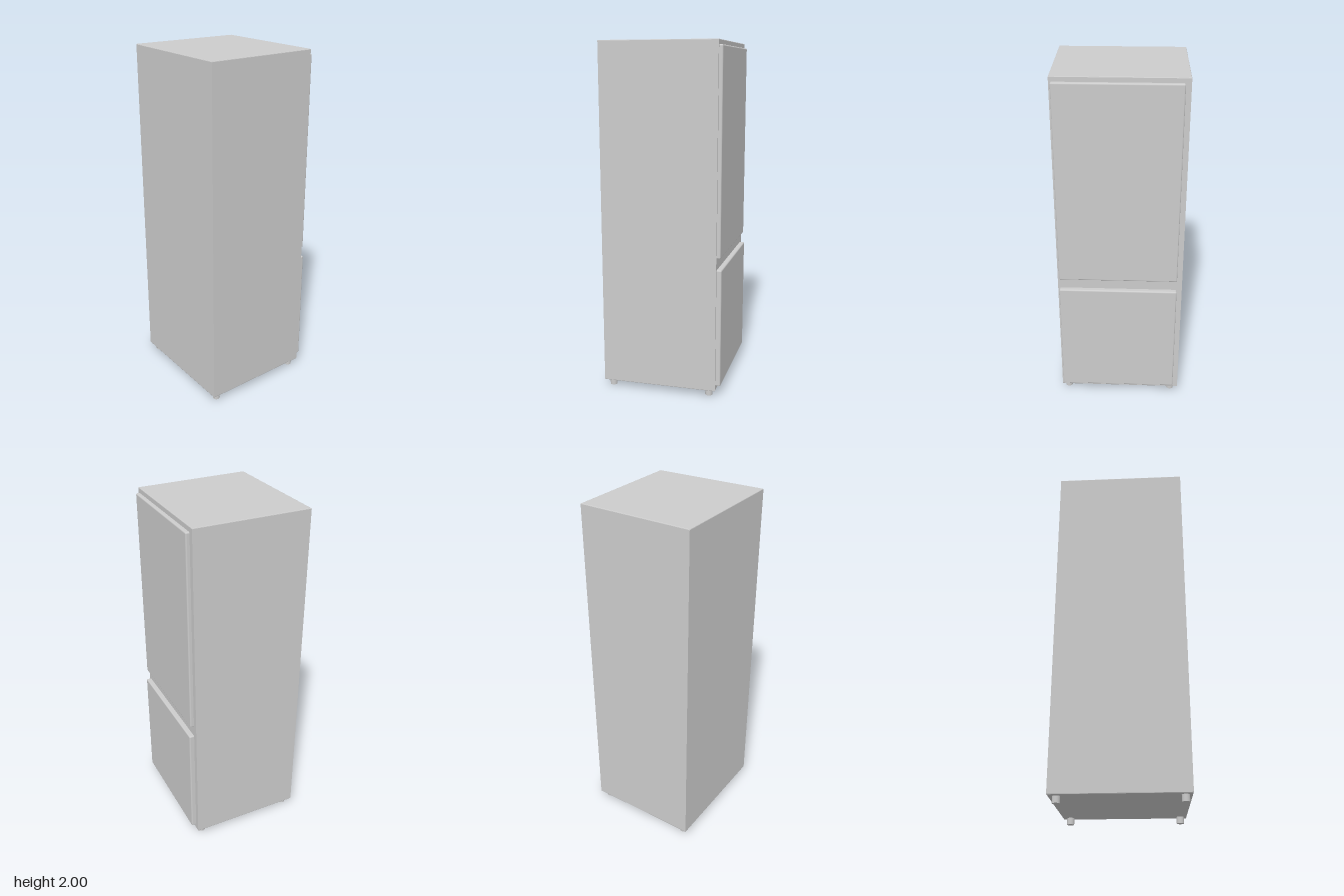
import * as THREE from 'three';
import { RoundedBoxGeometry } from 'three/addons/geometries/RoundedBoxGeometry.js';

const material = new THREE.MeshStandardMaterial({ color: 0xcccccc });

function addMesh(parent, name, geometry, x = 0, y = 0, z = 0) {
  const mesh = new THREE.Mesh(geometry, material);
  mesh.name = name;
  mesh.position.set(x, y, z);
  parent.add(mesh);
  return mesh;
}

// Cabinet: slightly skewed footprint extruded upward with a fine rounded edge
function cabinetGeometry() {
  const b = 0.004, bottom = 0.037, top = 2;
  const corners = [[-0.347, 0.37], [0.318, 0.348], [0.318, -0.37], [-0.347, -0.37]];
  const inset = corners.map(([x, z]) => new THREE.Vector2(x - Math.sign(x) * b, -(z - Math.sign(z) * b)));
  const geometry = new THREE.ExtrudeGeometry(new THREE.Shape(inset), {
    depth: top - bottom - 2 * b, bevelThickness: b, bevelSize: b, bevelSegments: 2,
  });
  geometry.rotateX(-Math.PI / 2);
  geometry.translate(0, bottom + b, 0);
  return geometry;
}

export function createModel() {
  const group = new THREE.Group();
  group.name = 'refrigerator';

  addMesh(group, 'cabinet', cabinetGeometry());

  // Doors: rounded slabs on the +x side, sunk a little into the cabinet
  const doors = [
    ['upperDoor', 0.82, 1.972, 0.339],
    ['lowerDoor', 0.066, 0.756, 0.346],
  ];
  const inner = 0.296;
  for (const [name, y0, y1, outer] of doors) {
    const geometry = new RoundedBoxGeometry(outer - inner, y1 - y0, 0.678, 3, 0.008);
    addMesh(group, name, geometry, (inner + outer) / 2, (y0 + y1) / 2, -0.001);
  }

  // Feet: short cylinders near the corners, following the skewed front
  const footGeometry = new THREE.CylinderGeometry(0.021, 0.021, 0.04, 24);
  const feet = [[-0.305, 0.331], [0.275, 0.312], [0.275, -0.325], [-0.305, -0.325]];
  for (const [x, z] of feet) addMesh(group, 'foot', footGeometry, x, 0.02, z);

  return group;
}
